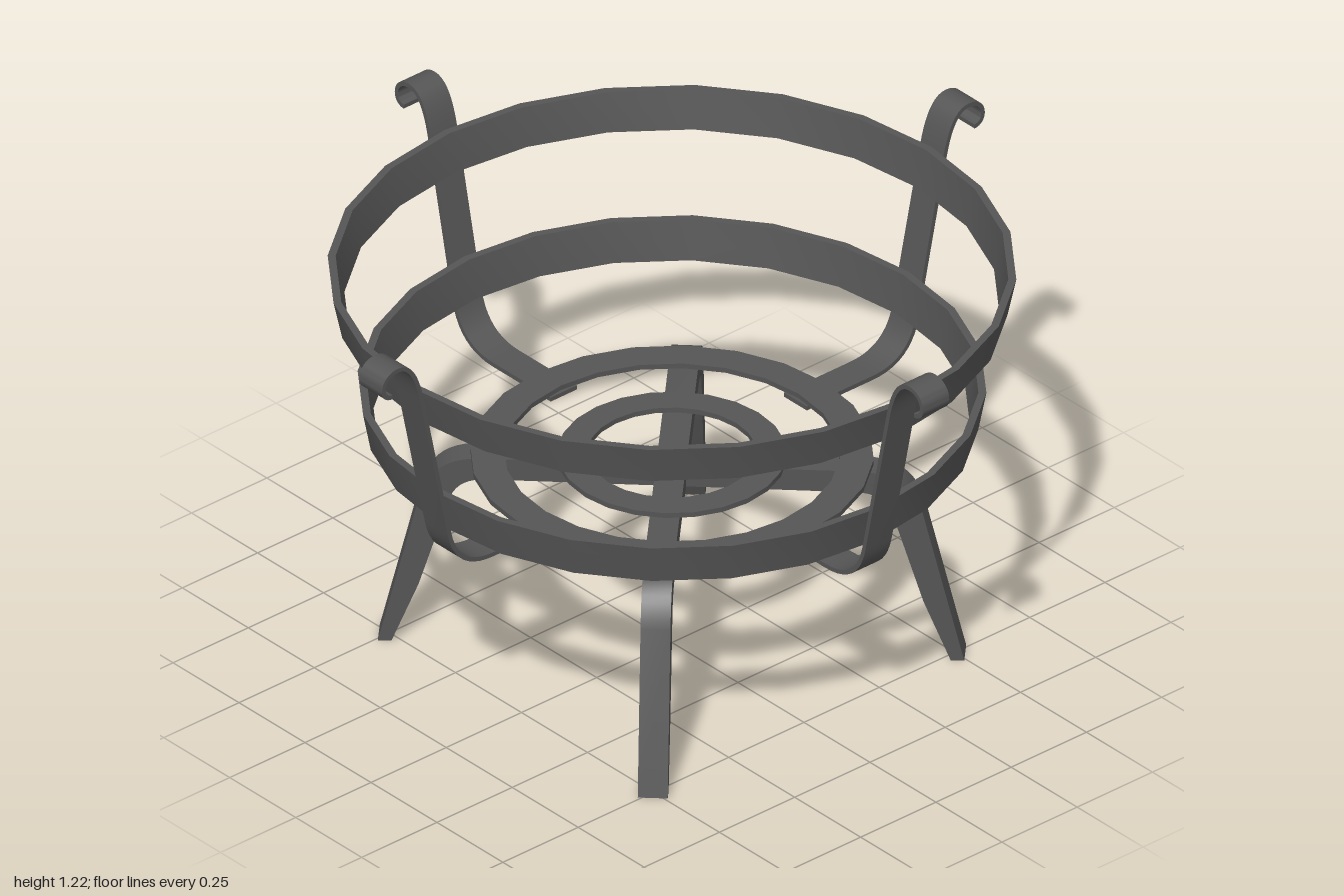
import * as THREE from 'three';
import { toCreasedNormals } from 'three/addons/utils/BufferGeometryUtils.js';

const SEGMENTS = 24;

// Flat bar of a given width, from an outline in the (radius, height) plane
function bar(outline, width) {
  const geo = new THREE.ExtrudeGeometry(new THREE.Shape(outline), {
    depth: width, bevelEnabled: false, curveSegments: 10,
  });
  geo.translate(0, 0, -width / 2);
  return toCreasedNormals(geo, 0.6);
}

// Outline of a thin strip that follows a path
function stripOutline(path, thickness) {
  const pts = path.getPoints(10);
  const left = [], right = [];
  pts.forEach((p, i) => {
    const a = pts[Math.max(i - 1, 0)], b = pts[Math.min(i + 1, pts.length - 1)];
    const t = b.clone().sub(a).normalize().multiplyScalar(thickness / 2);
    left.push(new THREE.Vector2(p.x - t.y, p.y + t.x));
    right.push(new THREE.Vector2(p.x + t.y, p.y - t.x));
  });
  return left.concat(right.reverse());
}

// Hoop with a four-cornered section: outer and inner radius at bottom and top
function hoop(y0, y1, out0, out1, in0, in1) {
  const section = [[in0, y0], [out0, y0], [out1, y1], [in1, y1], [in0, y0]];
  const geo = new THREE.LatheGeometry(section.map(([r, y]) => new THREE.Vector2(r, y)), SEGMENTS);
  return toCreasedNormals(geo, 0.6);
}

export function createModel() {
  const model = new THREE.Group();
  model.name = 'fireBasket';
  const iron = new THREE.MeshStandardMaterial({ color: 0x555555 });
  iron.name = 'darkIron';

  const add = (name, geo, angle = 0) => {
    const mesh = new THREE.Mesh(geo, iron);
    mesh.name = name;
    mesh.rotation.y = angle;
    model.add(mesh);
  };

  // Basket hoops, flaring upwards
  add('upperHoop', hoop(1.0, 1.105, 0.84, 0.862, 0.82, 0.842));
  add('lowerHoop', hoop(0.66, 0.768, 0.767, 0.787, 0.747, 0.767));

  // Flat grate rings on top of the legs
  add('outerGrateRing', hoop(0.546, 0.56, 0.505, 0.505, 0.42, 0.42));
  add('innerGrateRing', hoop(0.546, 0.56, 0.287, 0.287, 0.212, 0.212));

  // Four upright straps with curled tips
  const strapPath = new THREE.Path();
  strapPath.moveTo(0.41, 0.541);
  strapPath.lineTo(0.63, 0.541);
  strapPath.bezierCurveTo(0.71, 0.541, 0.76, 0.58, 0.777, 0.66);
  strapPath.lineTo(0.868, 1.09);
  strapPath.bezierCurveTo(0.885, 1.17, 0.91, 1.212, 0.947, 1.212);
  strapPath.bezierCurveTo(0.977, 1.212, 0.995, 1.194, 0.995, 1.17);
  strapPath.bezierCurveTo(0.995, 1.152, 0.982, 1.142, 0.967, 1.142);
  const strap = bar(stripOutline(strapPath, 0.012), 0.087);

  // Four tapered legs that meet in a cross at the centre
  const leg = new THREE.Shape();
  leg.moveTo(0, 0.485);
  leg.lineTo(0.46, 0.485);
  leg.bezierCurveTo(0.52, 0.485, 0.55, 0.46, 0.562, 0.4);
  leg.lineTo(0.632, 0.17);
  leg.lineTo(0.7, 0);
  leg.lineTo(0.734, 0);
  leg.lineTo(0.63, 0.43);
  leg.bezierCurveTo(0.605, 0.51, 0.56, 0.546, 0.47, 0.546);
  leg.lineTo(0, 0.546);
  const legBar = bar(leg.getPoints(10), 0.075);

  for (let i = 0; i < 4; i++) {
    add('strap' + (i + 1), strap, i * Math.PI / 2);
    add('leg' + (i + 1), legBar, (i + 0.5) * Math.PI / 2);
  }
  return model;
}
